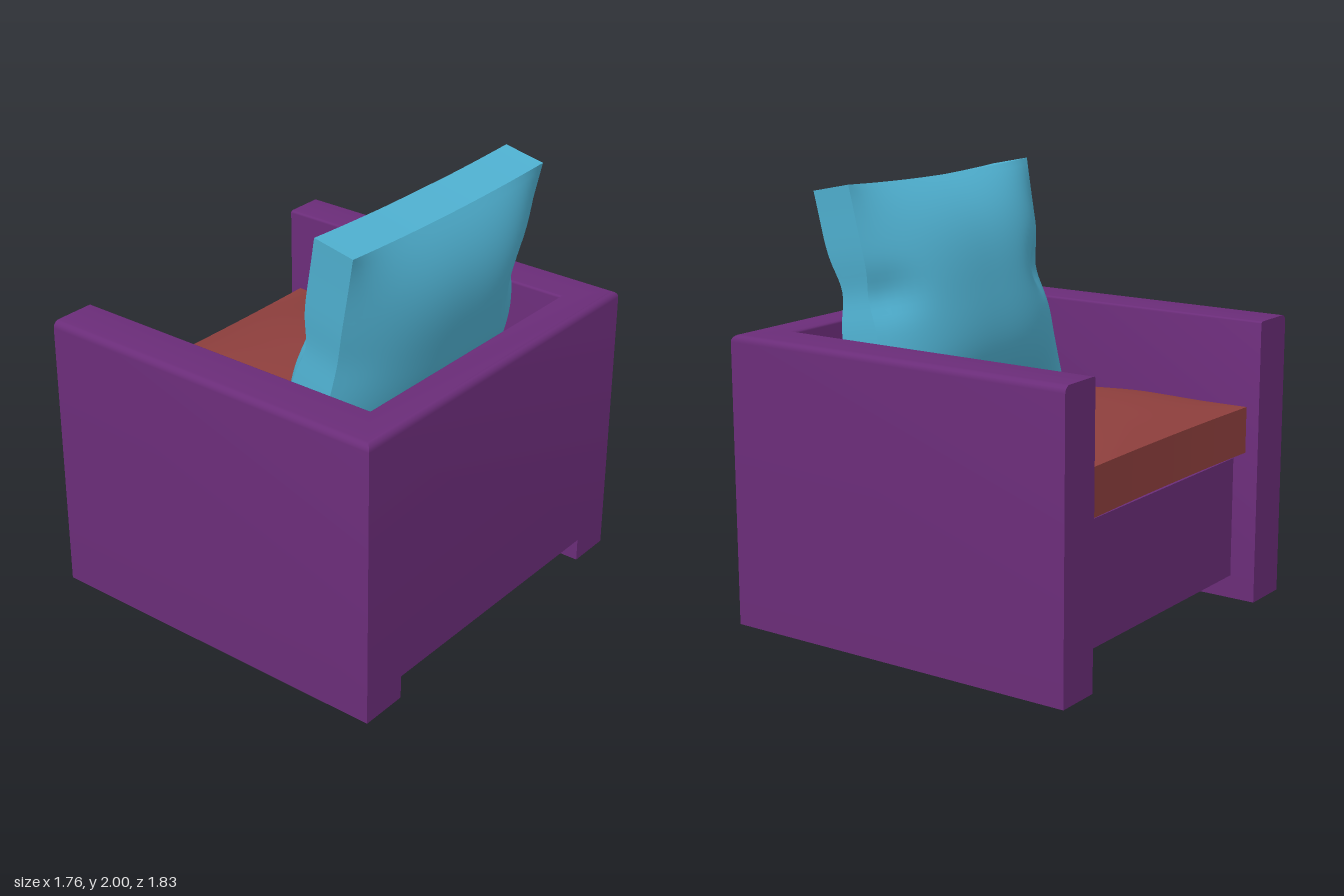
import * as THREE from 'three';
import { toCreasedNormals } from 'three/addons/utils/BufferGeometryUtils.js';

const PURPLE = new THREE.MeshStandardMaterial({ color: 0x6a2c78 });
const RED = new THREE.MeshStandardMaterial({ color: 0x8e3f3d });
const BLUE = new THREE.MeshStandardMaterial({ color: 0x4fb0d0 });

function part(name, geometry, material) {
  const mesh = new THREE.Mesh(geometry, material);
  mesh.name = name;
  return mesh;
}

// Box given by its lower and upper corners
function block(name, [x0, y0, z0], [x1, y1, z1]) {
  const g = new THREE.BoxGeometry(x1 - x0, y1 - y0, z1 - z0);
  g.translate((x0 + x1) / 2, (y0 + y1) / 2, (z0 + z1) / 2);
  return part(name, g, PURPLE);
}

// U-shaped wall (arms and back): one rounded cross-section carried round two corners
function wallGeometry() {
  const top = 1.335, bottom = 0.11;
  // Cross-section points: [side (0 inner, 1 outer), outward offset, y]
  const section = [[0, 0, bottom]];
  const round = (side, r, from, to) => {
    for (let i = 0; i <= 5; i++) {
      const a = THREE.MathUtils.lerp(from, to, i / 5);
      section.push([side, (side ? -r : r) + r * Math.cos(a), top - r + r * Math.sin(a)]);
    }
  };
  round(0, 0.012, Math.PI, Math.PI / 2);
  round(1, 0.032, Math.PI / 2, 0);
  section.push([1, 0, bottom]);

  // Stations: inner and outer x, z and the outward direction
  const stations = [
    { x: [-0.88, -0.88], z: [0.68, 0.912], d: [0, 1] },
    { x: [0.7, 0.877], z: [0.68, 0.912], d: [1, 1] },
    { x: [0.7, 0.877], z: [-0.7, -0.915], d: [1, -1] },
    { x: [-0.88, -0.88], z: [-0.7, -0.915], d: [0, -1] },
  ];
  const positions = [], index = [], n = section.length;
  for (const s of stations) {
    for (const [side, o, y] of section) positions.push(s.x[side] + o * s.d[0], y, s.z[side] + o * s.d[1]);
  }
  for (let s = 0; s < 3; s++) {
    for (let i = 0; i < n; i++) {
      const j = (i + 1) % n;
      const a = s * n + i, b = a + n, c = (s + 1) * n + j, d = s * n + j;
      index.push(a, d, c, a, c, b);
    }
  }
  // Flat front ends of the arms
  for (let i = 1; i < n - 1; i++) {
    index.push(0, i + 1, i, 3 * n, 3 * n + i, 3 * n + i + 1);
  }
  const g = new THREE.BufferGeometry();
  g.setAttribute('position', new THREE.Float32BufferAttribute(positions, 3));
  g.setIndex(index);
  return toCreasedNormals(g, 0.6);
}

// Pillow lying in x-z: thin border band, swollen faces, pinched sides and local dents
// dents: [u, v, face (+1 upper, -1 lower), radius, depth]
function pillowGeometry({ halfX, halfZ, edge, bulge, pinch, dents }) {
  const g = new THREE.BoxGeometry(2, 2, 2, 36, 4, 36);
  const p = g.attributes.position;
  for (let i = 0; i < p.count; i++) {
    const u = p.getX(i), t = p.getY(i), v = p.getZ(i);
    let half = edge + bulge * (1 - Math.abs(u) ** 3) * (1 - Math.abs(v) ** 3);
    let pull = 0;
    for (const [du, dv, face, r, depth] of dents) {
      const w = Math.exp(-((u - du) ** 2 + (v - dv) ** 2) / (r * r));
      if (t * face > 0) half -= depth * w * Math.abs(t);
      pull += 0.35 * depth * w * Math.abs(v) ** 6;
    }
    p.setXYZ(i,
      u * (halfX - pinch * (1 - v * v)),
      t * half,
      v * (halfZ - pinch * (1 - u * u) - pull));
  }
  g.computeVertexNormals();
  return g;
}

export function createModel() {
  const model = new THREE.Group();
  model.name = 'armchair';

  // Frame
  model.add(part('armsAndBack', wallGeometry(), PURPLE));
  model.add(block('seatBase', [-0.755, 0.11, -0.7], [0.7, 0.68, 0.68]));
  model.add(block('leftRunner', [-0.88, 0, 0.68], [0.877, 0.11, 0.912]));
  model.add(block('rightRunner', [-0.88, 0, -0.915], [0.877, 0.11, -0.7]));

  // Seat cushion
  const seat = part('seatCushion', pillowGeometry({
    halfX: 0.7, halfZ: 0.683, edge: 0.108, bulge: 0.09, pinch: 0.012,
    dents: [[0.15, 0.88, 1, 0.25, 0.06], [-0.35, -1, 1, 0.2, 0.05]],
  }), RED);
  seat.position.set(-0.12, 0.825, -0.01);
  model.add(seat);

  // Back cushion, stood up and leaning on the back
  const back = part('backCushion', pillowGeometry({
    halfX: 0.55, halfZ: 0.665, edge: 0.1, bulge: 0.19, pinch: 0.018,
    dents: [[0.05, 0.8, 1, 0.22, 0.07], [0.1, -0.9, 1, 0.18, 0.04], [0.2, -0.82, -1, 0.22, 0.06]],
  }), BLUE);
  back.rotation.z = THREE.MathUtils.degToRad(78.5);
  back.position.set(0.39, 1.44, 0);
  model.add(back);

  return model;
}
